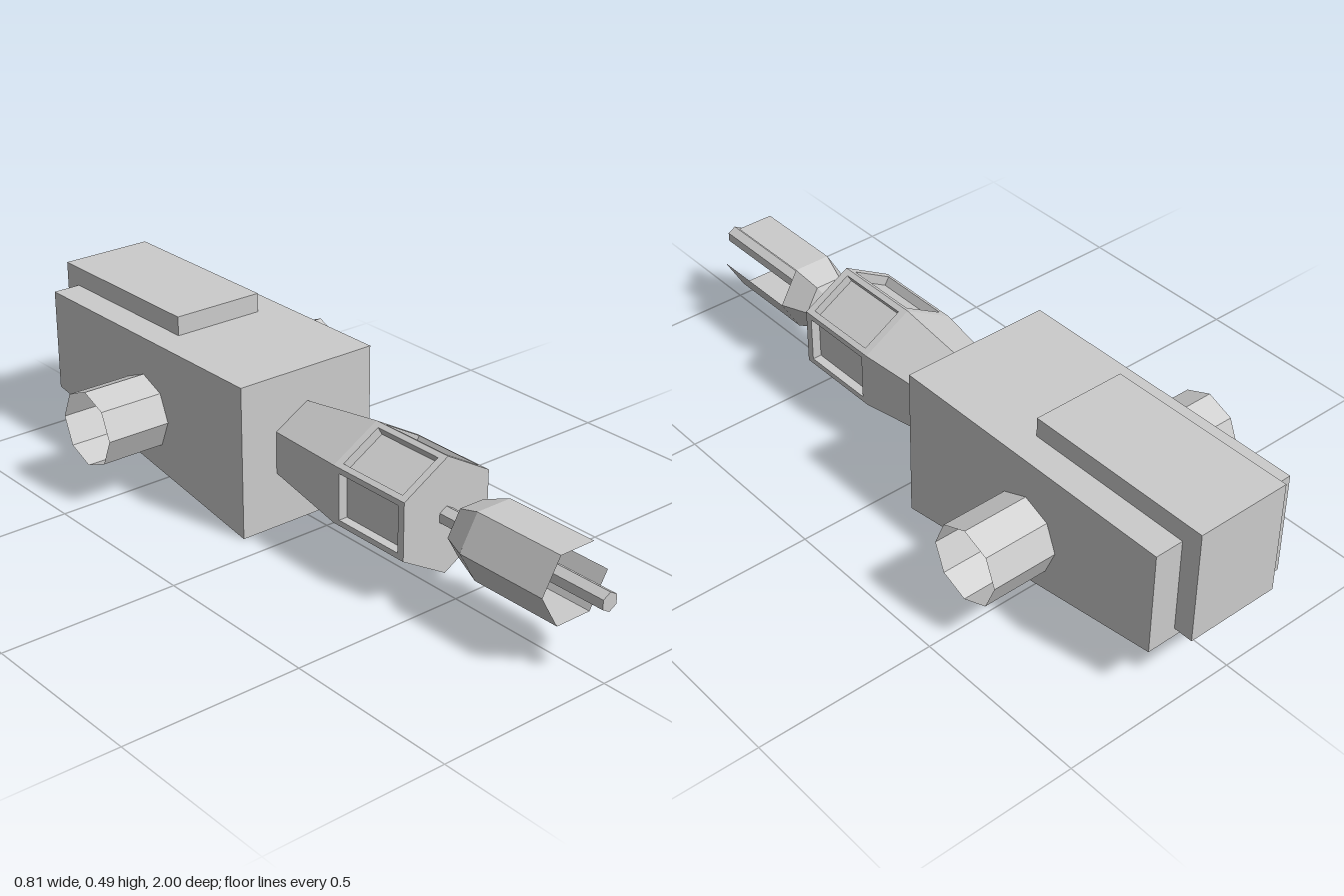
import * as THREE from 'three';

const AXIS_Y = 0.217; // height of the long axis

const solid = new THREE.MeshStandardMaterial({ color: 0xcccccc, flatShading: true });
const thin = new THREE.MeshStandardMaterial({ color: 0xcccccc, flatShading: true, side: THREE.DoubleSide });

function add(parent, name, geometry, material = solid) {
  const mesh = new THREE.Mesh(geometry, material);
  mesh.name = name;
  parent.add(mesh);
  return mesh;
}

// Side outline given as [z, y] pairs, extruded across x
function sideProfile(points, halfWidth) {
  const shape = new THREE.Shape(points.map(([z, y]) => new THREE.Vector2(-z, y)));
  const g = new THREE.ExtrudeGeometry(shape, { depth: halfWidth * 2, bevelEnabled: false });
  return g.translate(0, 0, -halfWidth).rotateY(Math.PI / 2);
}

// Six-sided tube along z with a corner at the top
function hexTube(rFront, rBack, zFront, zBack, open) {
  const g = new THREE.CylinderGeometry(rFront, rBack, zFront - zBack, 6, 1, open);
  return g.rotateX(Math.PI / 2).translate(0, 0, (zFront + zBack) / 2);
}

// Flat rectangle facing +y
function topPlane(width, length, y, z) {
  return new THREE.PlaneGeometry(width, length).rotateX(-Math.PI / 2).translate(0, y, z);
}

function rectPath(path, w, l) {
  path.moveTo(-w / 2, -l / 2).lineTo(w / 2, -l / 2).lineTo(w / 2, l / 2).lineTo(-w / 2, l / 2).closePath();
  return path;
}

// One face of the collar: a frame around a sunken panel
function collarFace(radius, zFront, zBack) {
  const face = new THREE.Group();
  face.name = 'collarFace';
  const y = radius * Math.cos(Math.PI / 6), z = (zFront + zBack) / 2;
  const w = 0.13, l = 0.22, depth = 0.026;
  const frame = rectPath(new THREE.Shape(), radius, zFront - zBack);
  frame.holes.push(rectPath(new THREE.Path(), w, l));
  add(face, 'panelFrame', new THREE.ShapeGeometry(frame).rotateX(-Math.PI / 2).translate(0, y, z), thin);
  add(face, 'sunkenPanel', topPlane(w, l, y - depth, z), thin);
  for (const s of [-1, 1]) {
    add(face, 'recessSide', new THREE.PlaneGeometry(l, depth).rotateY(-s * Math.PI / 2)
      .translate(s * w / 2, y - depth / 2, z), thin);
    add(face, 'recessEnd', new THREE.PlaneGeometry(w, depth).rotateY(s > 0 ? Math.PI : 0)
      .translate(0, y - depth / 2, z + s * l / 2), thin);
  }
  return face;
}

export function createModel() {
  const model = new THREE.Group();

  // Hull with a sloping underside, and the slab that wraps over its top and back
  add(model, 'hull', sideProfile([[-0.08, 0], [-0.945, 0.14], [-0.945, 0.433], [-0.08, 0.433]], 0.216));
  add(model, 'backSlab', sideProfile(
    [[-0.46, 0.433], [-0.945, 0.433], [-0.945, 0.165], [-1, 0.165], [-1, 0.487], [-0.46, 0.487]], 0.135));

  // Open eight-sided tubes on both sides
  for (const s of [-1, 1]) {
    const tube = new THREE.CylinderGeometry(0.1075, 0.1075, 0.19, 8, 1, true).rotateZ(Math.PI / 2);
    add(model, s > 0 ? 'leftTube' : 'rightTube', tube, thin).position.set(s * 0.31, AXIS_Y, -0.516);
  }

  // Tapered neck and six-sided collar with sunken panels
  const neck = new THREE.Group();
  neck.name = 'neck';
  neck.position.y = AXIS_Y;
  model.add(neck);
  add(neck, 'neckTaper', hexTube(0.1615, 0.12, 0.195, -0.08, true), thin);
  for (let i = 0; i < 6; i++) {
    const face = collarFace(0.1615, 0.458, 0.195);
    face.rotation.z = (i + 0.5) * Math.PI / 3;
    neck.add(face);
  }
  add(neck, 'collarFront', new THREE.CircleGeometry(0.1615, 6, Math.PI / 6).translate(0, 0, 0.458));

  // Thin rod through an open six-sided cup
  const nose = new THREE.Group();
  nose.name = 'nose';
  nose.position.y = AXIS_Y;
  model.add(nose);
  add(nose, 'rod', hexTube(0.026, 0.026, 1, 0.458, false));
  const cupProfile = [[0.021, 0.525], [0.077, 0.545], [0.108, 0.62]].map(p => new THREE.Vector2(...p));
  add(nose, 'cupBase', new THREE.LatheGeometry(cupProfile, 6, Math.PI / 6).rotateX(Math.PI / 2), thin);
  // Five walls: the upper left side of the cup is left open
  for (let i = 0; i < 5; i++) {
    add(nose, 'cupWall', topPlane(0.108, 0.273, 0.0935, 0.7565), thin).rotation.z = i * Math.PI / 3;
  }

  return model;
}
